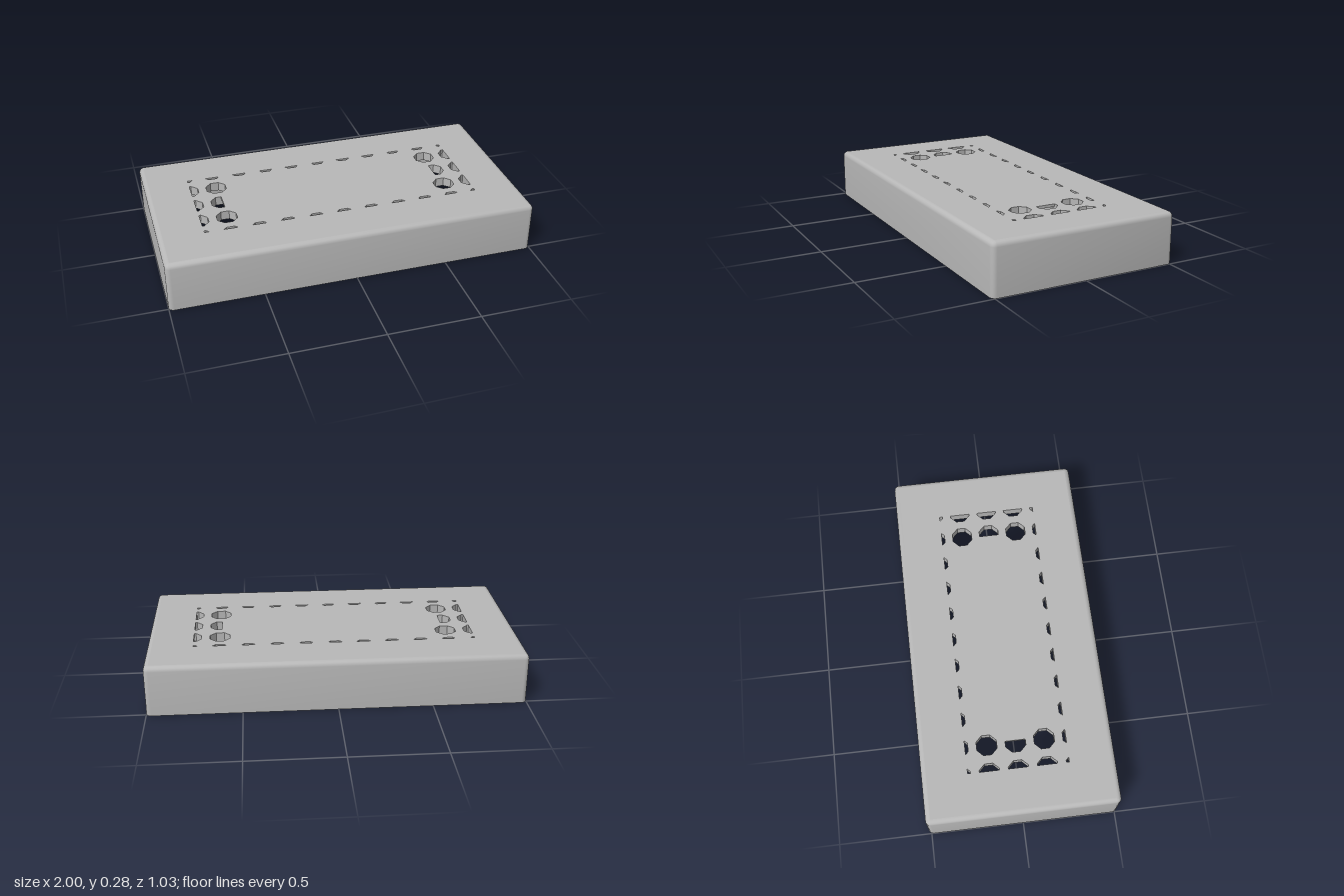
import * as THREE from 'three';
import { toCreasedNormals } from 'three/addons/utils/BufferGeometryUtils.js';

const HX = 1, HZ = 0.515, H = 0.276;          // half length, half depth, height
const R = 0.027, WALL = 0.045, CEIL = 0.226;  // edge radius, wall thickness, ceiling height
const PITCH = 0.154, HOLE = 0.054;            // vent grid spacing, hole apothem
const FX = 0.757, FZ = 0.27;                  // half size of the vent field

// Rounded rectangle ring, inset from the outer outline
function ring(inset, radius, y, steps = 5) {
  const pts = [];
  const cx = HX - inset - radius, cz = HZ - inset - radius;
  [[1, 1], [-1, 1], [-1, -1], [1, -1]].forEach(([sx, sz], q) => {
    for (let i = 0; i <= steps; i++) {
      const a = (q + i / steps) * Math.PI / 2;
      pts.push([sx * cx + radius * Math.cos(a), y, sz * cz + radius * Math.sin(a)]);
    }
  });
  return pts;
}

// Skin between consecutive closed rings
function loft(rings) {
  const n = rings[0].length, index = [];
  for (let i = 0; i < rings.length - 1; i++) {
    for (let j = 0; j < n; j++) {
      const a = i * n + j, b = i * n + (j + 1) % n;
      index.push(a, a + n, b, b, a + n, b + n);
    }
  }
  const g = new THREE.BufferGeometry();
  g.setAttribute('position', new THREE.Float32BufferAttribute(rings.flat(2), 3));
  g.setIndex(index);
  return toCreasedNormals(g, 0.6);
}

// Keep the part of a convex polygon where sign * coordinate <= limit
function clip(poly, axis, sign, limit) {
  const out = [];
  poly.forEach((p, i) => {
    const q = poly[(i + 1) % poly.length];
    const dp = limit - sign * p[axis], dq = limit - sign * q[axis];
    if (dp >= 0) out.push(p);
    if (dp * dq < 0) {
      const t = dp / (dp - dq);
      out.push([p[0] + (q[0] - p[0]) * t, p[1] + (q[1] - p[1]) * t]);
    }
  });
  return out;
}

// Octagonal vent hole, trimmed to the vent field
function hole(k, j) {
  const r = HOLE / Math.cos(Math.PI / 8);
  let poly = [];
  for (let i = 0; i < 8; i++) {
    const a = (i + 0.5) * Math.PI / 4;
    poly.push([k * PITCH + r * Math.cos(a), j * PITCH + r * Math.sin(a)]);
  }
  for (const s of [1, -1]) poly = clip(clip(poly, 0, s, FX), 1, s, FZ);
  return poly;
}

// Flat roof layer pierced by the given holes
function layer(holes, y, thickness) {
  const x = HX - R, z = HZ - R;
  const shape = new THREE.Shape([[-x, -z], [x, -z], [x, z], [-x, z]].map(p => new THREE.Vector2(...p)));
  for (const h of holes) shape.holes.push(new THREE.Path(h.map(p => new THREE.Vector2(...p))));
  const g = new THREE.ExtrudeGeometry(shape, { depth: thickness, bevelEnabled: false });
  return g.rotateX(-Math.PI / 2).translate(0, y, 0);
}

export function createModel() {
  const model = new THREE.Group();
  model.name = 'ventedCover';
  const grey = new THREE.MeshStandardMaterial({ color: 0xb8b8b8 });
  grey.name = 'grey plastic';
  const add = (name, geometry) => {
    const mesh = new THREE.Mesh(geometry, grey);
    mesh.name = name;
    model.add(mesh);
    return mesh;
  };

  // Walls: inside face, bottom rim, outside face, rounded top edge
  const rings = [
    ring(WALL, 0.02, CEIL), ring(WALL, 0.02, 0),
    ring(0, R, 0), ring(0, R, H - R),
  ];
  for (let i = 1; i <= 5; i++) {
    const a = i / 5 * Math.PI / 2, inset = R * (1 - Math.cos(a));
    rings.push(ring(inset, R - inset, H - R + R * Math.sin(a)));
  }
  add('walls', loft(rings));

  // Roof: every hole opens below, the middle ones are closed on top
  const lower = [], upper = [];
  for (let k = -5; k <= 5; k++) {
    for (let j = -2; j <= 2; j++) {
      const h = hole(k, j);
      lower.push(h);
      if (Math.abs(k) === 4 && j === 0) upper.push(clip(h, 0, -Math.sign(k), -0.607));
      else if (Math.abs(k) >= 4 || Math.abs(j) === 2) upper.push(h);
    }
  }
  const split = H - 0.015;
  add('roofUnderside', layer(lower, CEIL, split - CEIL));
  add('roofTop', layer(upper, split, H - split));

  // Snap bumps on the inside of the long walls
  for (const x of [-0.5, 0.5]) {
    for (const s of [-1, 1]) {
      add('snapBump', new THREE.SphereGeometry(0.028, 20, 14)).position.set(x, 0.11, s * (HZ - WALL));
    }
  }
  return model;
}
